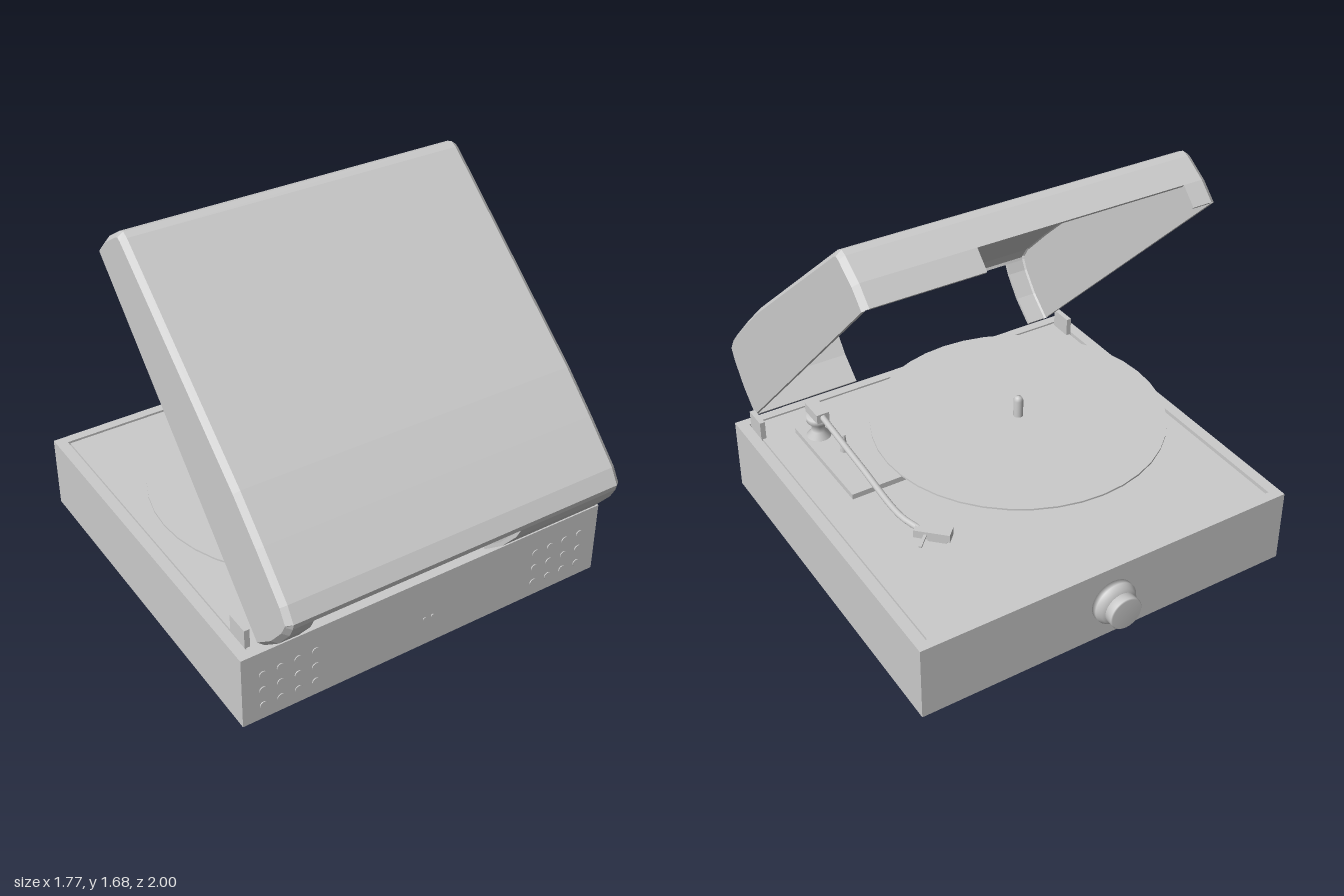
import * as THREE from 'three';

const mat = new THREE.MeshStandardMaterial({ color: 0xcccccc, side: THREE.DoubleSide });

export function createModel() {
  const root = new THREE.Group();
  const V = (a, b) => new THREE.Vector2(a, b);

  const add = (name, geo, x = 0, y = 0, z = 0, parent = root) => {
    const m = new THREE.Mesh(geo, mat);
    m.name = name;
    m.position.set(x, y, z);
    parent.add(m);
    return m;
  };
  // box given by its limits on each axis
  const box = (name, x0, x1, y0, y1, z0, z1, parent) =>
    add(name, new THREE.BoxGeometry(x1 - x0, y1 - y0, z1 - z0), (x0 + x1) / 2, (y0 + y1) / 2, (z0 + z1) / 2, parent);
  const lathe = (pts, seg = 48) => new THREE.LatheGeometry(pts.map(p => V(p[0], p[1])), seg);
  const rect = (x0, x1, z0, z1) => [V(x0, -z0), V(x1, -z0), V(x1, -z1), V(x0, -z1)];

  // horizontal frame with a rectangular opening
  const frame = (name, outer, inner, y0, y1) => {
    const s = new THREE.Shape(rect(...outer));
    s.holes.push(new THREE.Path(rect(...inner)));
    const g = new THREE.ExtrudeGeometry(s, { depth: y1 - y0, bevelEnabled: false });
    add(name, g.rotateX(-Math.PI / 2), 0, y0, 0);
  };

  // Case: thin walls open below, top rim, deck with narrow side slots
  const W = 0.885, F = 0.8, B = -0.9;
  frame('caseWalls', [-W, W, B, F], [-W + 0.015, W - 0.015, B + 0.015, F - 0.015], 0, 0.325);
  frame('topRim', [-W, W, B, F], [-0.835, 0.835, -0.855, 0.755], 0.325, 0.345);
  box('deck', -0.825, 0.825, 0.315, 0.337, -0.852, 0.755);

  // Speaker holes and indicator dots on the front
  const disc = (name, x, y, r) =>
    add(name, new THREE.CylinderGeometry(r, r, 0.008, 20).rotateX(Math.PI / 2), x, y, F);
  for (const s of [-1, 1])
    for (let i = 0; i < 4; i++)
      for (let j = 0; j < 3; j++) disc('speakerHole', s * (0.55 + 0.08 * i), 0.07 + 0.08 * j, 0.018);
  for (const x of [-0.025, 0.015]) disc('indicator', x, 0.14, 0.008);

  // Rear knob
  add('rearKnob', lathe([[0, 0], [0.1, 0], [0.1, 0.025], [0.085, 0.047], [0.06, 0.05], [0.06, 0.055],
    [0.075, 0.058], [0.075, 0.095], [0.07, 0.1], [0, 0.1]]).rotateX(-Math.PI / 2), 0, 0.175, B);

  // Platter, record and spindle
  const cx = -0.15, cz = 0.045;
  add('platter', lathe([[0, 0.337], [0.5, 0.337], [0.53, 0.352], [0.545, 0.37], [0.545, 0.41],
    [0.53, 0.43], [0, 0.43]], 64), cx, 0, cz);
  add('record', new THREE.CylinderGeometry(0.655, 0.655, 0.008, 40), cx, 0.455, cz);
  add('spindle', lathe([[0.022, 0.43], [0.022, 0.54], [0.014, 0.556], [0, 0.56]], 20), cx, 0, cz);

  // Tonearm: pedestal, pivot block, bent tube, angled headshell
  const arm = new THREE.Group();
  arm.name = 'tonearm';
  root.add(arm);
  add('armPedestal', lathe([[0, 0.337], [0.055, 0.337], [0.055, 0.365], [0.03, 0.39], [0.03, 0.42],
    [0.05, 0.44], [0.05, 0.465], [0, 0.465]], 24), 0.61, 0, 0.5, arm);
  box('armPivot', 0.58, 0.64, 0.465, 0.51, 0.44, 0.56, arm);
  const path = new THREE.CatmullRomCurve3([[0.61, 0.49, 0.45], [0.63, 0.49, 0.05], [0.645, 0.49, -0.33],
    [0.62, 0.488, -0.43]].map(p => new THREE.Vector3(...p)));
  add('armTube', new THREE.TubeGeometry(path, 24, 0.014, 10), 0, 0, 0, arm);
  const shell = new THREE.Group();
  shell.name = 'headshell';
  shell.position.set(0.58, 0.48, -0.475);
  shell.rotation.y = Math.PI / 4;
  arm.add(shell);
  box('shellBody', -0.028, 0.028, -0.015, 0.02, -0.075, 0.075, shell);
  box('cartridge', -0.02, 0.02, -0.03, -0.015, -0.06, 0.02, shell);
  box('fingerLift', 0.028, 0.1, 0, 0.008, 0.02, 0.032, shell);

  // Control plate with lever
  box('controlPlate', 0.03, 0.68, 0.337, 0.362, 0.04, 0.6);
  add('lever', new THREE.CylinderGeometry(0.006, 0.018, 0.1, 12), 0.57, 0.405, 0.33).rotation.x = -0.12;

  // Hinge brackets
  for (const s of [-1, 1]) {
    box('hingeBracket', s * 0.82 - 0.012, s * 0.82 + 0.012, 0.325, 0.425, 0.63, 0.74);
  }

  // Lid side profile (z, y): hinge wall, top skin, free wall with rim
  const profile = [[0.785, 0.36], [0.89, 0.45], [0.97, 0.55], [0.995, 0.6], [1.0, 0.625], [0.96, 0.69],
    [0.8, 0.85], [0.64, 1.0], [-0.17, 1.67], [-0.2, 1.685], [-0.23, 1.675], [-0.33, 1.61], [-0.4, 1.54]]
    .map(p => V(...p));
  const inset = t => profile.map((p, i) => {
    const a = profile[Math.max(i - 1, 0)], b = profile[Math.min(i + 1, profile.length - 1)];
    const d = b.clone().sub(a).normalize();
    return V(p.x - d.y * t, p.y + d.x * t);
  });
  const lid = new THREE.Group();
  lid.name = 'lid';
  root.add(lid);
  const inner = inset(0.016);
  const extrudeX = (name, pts, x0, x1) => {
    const g = new THREE.ExtrudeGeometry(new THREE.Shape(pts), { depth: x1 - x0, bevelEnabled: false });
    add(name, g.rotateY(-Math.PI / 2), x1, 0, 0, lid);
  };
  const skin = (name, i, j, x0, x1) =>
    extrudeX(name, [...profile.slice(i, j + 1), ...inner.slice(i, j + 1).reverse()], x0, x1);
  const X = 0.77, S = 0.795, last = profile.length - 1;
  skin('lidTop', 3, last - 1, -X, X);
  // both end walls are cut away between x = -0.68 and x = 0.28
  for (const [x0, x1] of [[-X, -0.68], [0.28, X]]) {
    skin('lidHingeWall', 0, 3, x0, x1);
    skin('lidFreeWall', last - 1, last, x0, x1);
  }
  // side panels and the chamfers that join them to the skin
  const side = inset(0.02);
  extrudeX('lidSideLeft', side, S - 0.015, S);
  extrudeX('lidSideRight', side, -S, -S + 0.015);
  for (const s of [-1, 1]) {
    const pos = [], idx = [];
    profile.forEach((p, i) => {
      pos.push(s * X, p.y, p.x, s * S, side[i].y, side[i].x);
      const k = 2 * i;
      if (i < last) idx.push(...(s > 0 ? [k, k + 1, k + 2, k + 1, k + 3, k + 2] : [k, k + 2, k + 1, k + 1, k + 2, k + 3]));
    });
    let g = new THREE.BufferGeometry();
    g.setAttribute('position', new THREE.Float32BufferAttribute(pos, 3));
    g.setIndex(idx);
    g = g.toNonIndexed();
    g.computeVertexNormals();
    add('lidChamfer', g, 0, 0, 0, lid);
  }
  return root;
}
